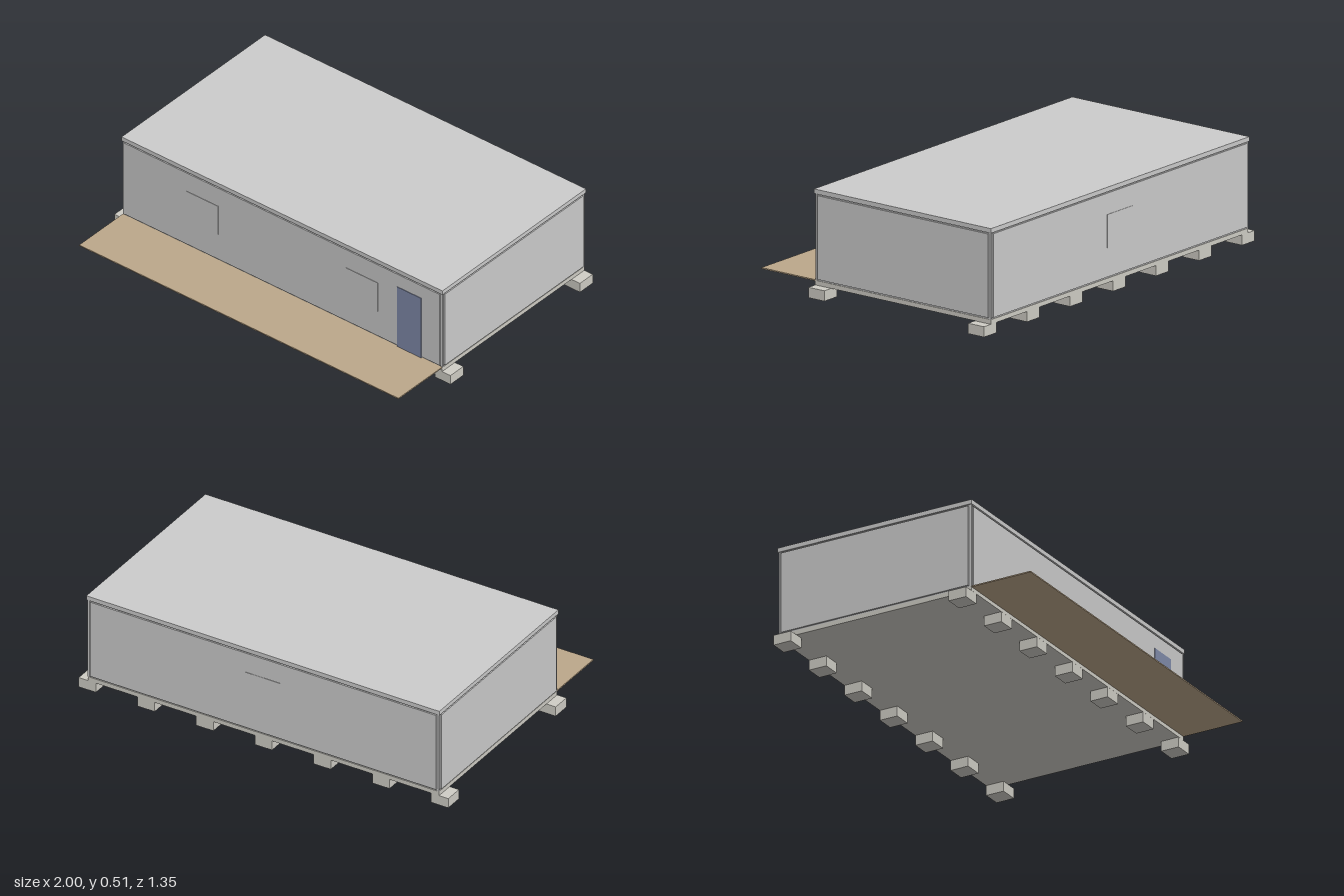
import * as THREE from 'three';

const paint = (color) => new THREE.MeshStandardMaterial({ color, flatShading: true });

export function createModel() {
  const model = new THREE.Group();
  const grey = paint(0xcccccc);
  const concrete = paint(0xcfcdc5);
  const wood = paint(0xbca78a);
  const blue = paint(0x7f8aa9);

  // Box given by its lower and upper limits on each axis
  const box = (name, material, [x0, x1], [y0, y1], [z0, z1]) => {
    const mesh = new THREE.Mesh(new THREE.BoxGeometry(x1 - x0, y1 - y0, z1 - z0), material);
    mesh.position.set((x0 + x1) / 2, (y0 + y1) / 2, (z0 + z1) / 2);
    mesh.name = name;
    model.add(mesh);
  };

  const back = -0.675, front = 0.363, halfWidth = 0.955;
  const wallY = [0.08, 0.482];

  // Floor, recessed core and roof slab
  box('floor', concrete, [-0.95, 0.95], [0.05, 0.072], [back + 0.004, front - 0.002]);
  box('core', grey, [-0.946, 0.946], [0.072, 0.49], [back + 0.008, front - 0.008]);
  box('roof', grey, [-halfWidth, halfWidth], [0.489, 0.511], [back - 0.001, front + 0.001]);

  // Wall panels standing proud of the core, leaving a groove at each corner
  box('frontWall', grey, [-0.937, 0.937], wallY, [front - 0.009, front]);
  box('backWall', grey, [-0.937, 0.937], wallY, [back, back + 0.009]);
  for (const side of [-1, 1]) {
    const x = [side * 0.945, side * halfWidth].sort((a, b) => a - b);
    box('sideWall', grey, x, wallY, [back + 0.018, front - 0.018]);
  }

  // Corner posts
  for (const x of [-0.9455, 0.9455]) {
    for (const z of [back + 0.0085, front - 0.0085]) {
      box('cornerPost', grey, [x - 0.005, x + 0.005], [0.072, 0.49], [z - 0.005, z + 0.005]);
    }
  }

  // Windows and door
  const windowY = [0.22, 0.38];
  for (const x of [-0.475, 0.475]) {
    box('frontWindow', grey, [x - 0.095, x + 0.095], windowY, [front - 0.002, front + 0.002]);
  }
  box('backWindow', grey, [-0.095, 0.095], windowY, [back - 0.002, back + 0.002]);
  box('door', blue, [0.685, 0.83], [0.075, 0.412], [front - 0.004, front + 0.003]);

  // Porch deck
  box('porch', wood, [-0.95, 0.95], [0.069, 0.075], [front - 0.003, 0.677]);

  // Two rows of foundation blocks
  for (let i = -3; i <= 3; i++) {
    const x = i * 0.3178;
    for (const z of [-0.624, 0.314]) {
      box('foundationBlock', concrete, [x - 0.0466, x + 0.0466], [0, 0.05], [z - 0.0466, z + 0.0466]);
    }
  }
  return model;
}
